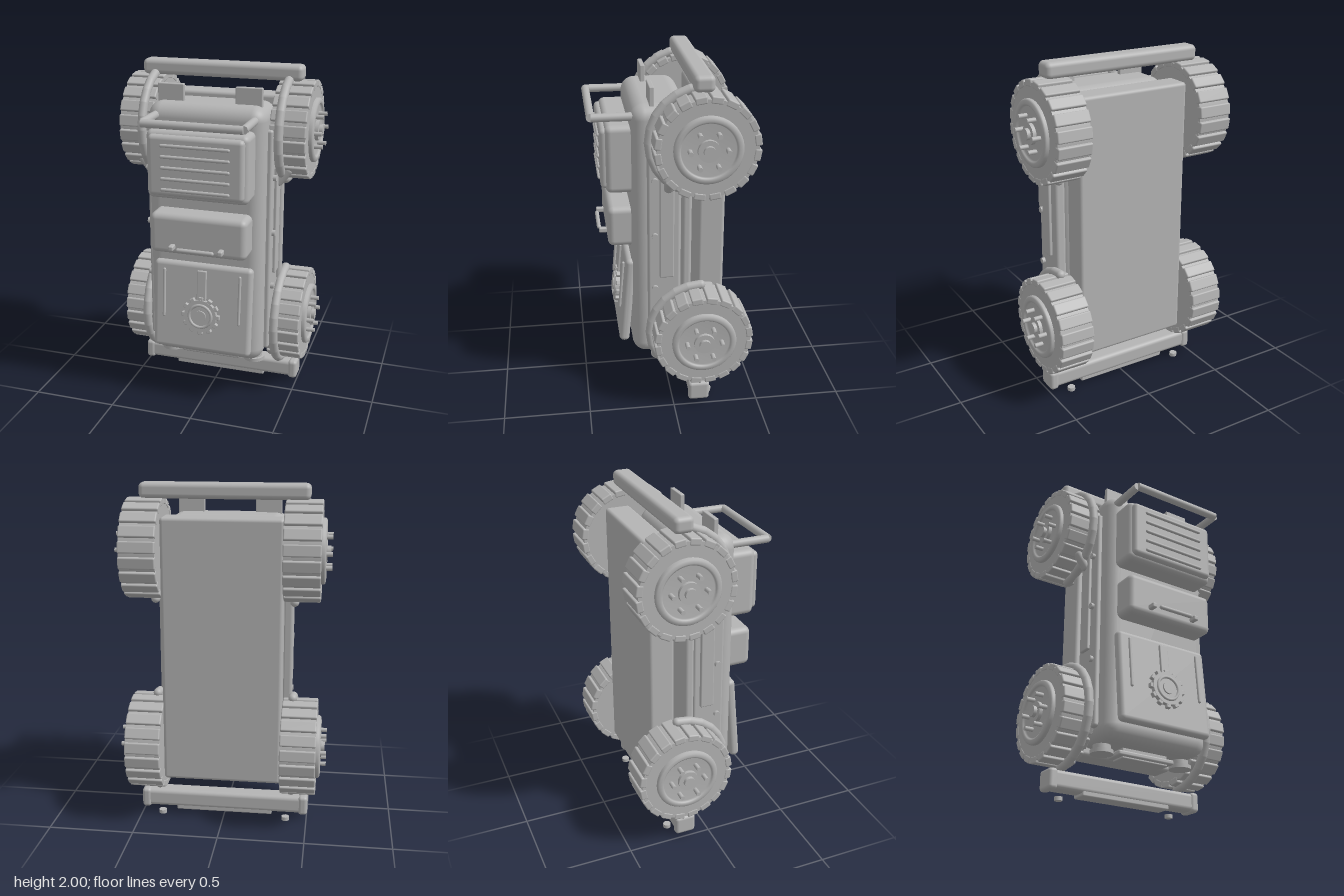
import * as THREE from 'three';
import { RoundedBoxGeometry } from 'three/addons/geometries/RoundedBoxGeometry.js';

const grey = new THREE.MeshStandardMaterial({ color: 0xb4b4b4 });
grey.name = 'matte grey';

function add(parent, name, geometry, x = 0, y = 0, z = 0) {
  const mesh = new THREE.Mesh(geometry, grey);
  mesh.name = name;
  mesh.position.set(x, y, z);
  parent.add(mesh);
  return mesh;
}

// Rounded box given by its limits on each axis
function block(parent, name, [x0, x1], [y0, y1], [z0, z1], r = 0.01) {
  const geo = new RoundedBoxGeometry(x1 - x0, y1 - y0, z1 - z0, 4, r);
  return add(parent, name, geo, (x0 + x1) / 2, (y0 + y1) / 2, (z0 + z1) / 2);
}

// Rod between two points, with round ends
function rod(parent, name, a, b, r) {
  const from = new THREE.Vector3(...a), to = new THREE.Vector3(...b);
  const dir = to.clone().sub(from);
  const mesh = add(parent, name, new THREE.CapsuleGeometry(r, dir.length(), 5, 14));
  mesh.position.copy(from).add(to).multiplyScalar(0.5);
  mesh.quaternion.setFromUnitVectors(new THREE.Vector3(0, 1, 0), dir.normalize());
  return mesh;
}

// Cylinder whose axis lies along x, y or z
function disc(parent, name, axis, r, depth, x, y, z, sides = 32) {
  const geo = new THREE.CylinderGeometry(r, r, depth, sides);
  if (axis === 'x') geo.rotateZ(-Math.PI / 2);
  if (axis === 'z') geo.rotateX(Math.PI / 2);
  return add(parent, name, geo, x, y, z);
}

// Wheel with its axle on local x, outer face towards +x
function makeWheel() {
  const wheel = new THREE.Group();
  wheel.name = 'wheel';
  disc(wheel, 'tyre', 'x', 0.27, 0.2, 0, 0, 0, 60);
  const lugs = 20;
  for (let i = 0; i < lugs; i++) {
    const a = (i + 0.5) / lugs * Math.PI * 2;
    const lug = add(wheel, 'treadLug', new RoundedBoxGeometry(0.206, 0.04, 0.066, 2, 0.008),
      0, Math.cos(a) * 0.265, Math.sin(a) * 0.265);
    lug.rotation.x = a;
  }
  // Dished rim
  const profile = [[0, 0.11], [0.145, 0.11], [0.15, 0.122], [0.16, 0.127], [0.178, 0.124], [0.185, 0.115], [0.185, 0.09]]
    .map(([r, h]) => new THREE.Vector2(r, h)).reverse();
  const rim = new THREE.LatheGeometry(profile, 48);
  rim.rotateZ(-Math.PI / 2);
  add(wheel, 'rim', rim);
  disc(wheel, 'hub', 'x', 0.06, 0.03, 0.115, 0, 0);
  disc(wheel, 'hubCap', 'x', 0.032, 0.05, 0.125, 0, 0);
  for (let i = 0; i < 6; i++) {
    const a = i / 6 * Math.PI * 2;
    disc(wheel, 'wheelBolt', 'x', 0.013, 0.06, 0.13, Math.sin(a) * 0.1, Math.cos(a) * 0.1, 12);
  }
  return wheel;
}

// Half ring of short rounded links in front of each wheel
function makeArch() {
  const arch = new THREE.Group();
  arch.name = 'wheelArch';
  const count = 12, R = 0.295;
  for (let i = 0; i < count; i++) {
    const p = [i, i + 1].map(k => {
      const a = Math.PI / 2 - k / count * Math.PI;
      return [0, Math.sin(a) * R, Math.cos(a) * R];
    });
    rod(arch, 'archLink', p[0], p[1], 0.026);
  }
  return arch;
}

function makeHood() {
  const hood = new THREE.Group();
  hood.name = 'hood';
  block(hood, 'hoodPanel', [-0.3, 0.3], [-0.272, 0.272], [-0.06, 0], 0.027);
  block(hood, 'centreRib', [-0.028, 0.028], [0.04, 0.235], [-0.01, 0.014], 0.005);
  for (const s of [-1, 1]) rod(hood, 'sideRib', [s * 0.23, -0.065, 0.008], [s * 0.23, 0.22, 0.008], 0.009);
  // Toothed round ornament
  const y = -0.04;
  disc(hood, 'gearBody', 'z', 0.098, 0.03, 0, y, 0.01, 40);
  for (let i = 0; i < 12; i++) {
    const a = i / 12 * Math.PI * 2;
    const tooth = add(hood, 'gearTooth', new RoundedBoxGeometry(0.028, 0.03, 0.026, 2, 0.004),
      Math.sin(a) * 0.101, y + Math.cos(a) * 0.101, 0.01);
    tooth.rotation.z = -a;
  }
  add(hood, 'gearRing', new THREE.TorusGeometry(0.068, 0.009, 8, 40), 0, y, 0.025);
  disc(hood, 'gearHub', 'z', 0.036, 0.04, 0, y, 0.014);
  hood.position.set(0, 0.617, 0.277);
  hood.rotation.x = -0.09;
  return hood;
}

export function createModel() {
  const model = new THREE.Group();
  model.name = 'toyTruck';

  // Body shell and separate chassis plate
  block(model, 'bodyShell', [-0.345, 0.345], [0.27, 1.81], [-0.11, 0.22], 0.08);
  block(model, 'chassis', [-0.345, 0.345], [0.27, 1.82], [-0.305, -0.155], 0.02);

  for (const s of [-1, 1]) {
    const span = (a, b) => s > 0 ? [a, b] : [-b, -a];
    // Side skirts, rails and rivets
    block(model, 'sideSkirt', span(0.32, 0.372), [0.34, 1.68], [-0.05, 0.135], 0.015);
    block(model, 'sidePanel', span(0.36, 0.39), [0.81, 1.45], [-0.012, 0.07], 0.008);
    block(model, 'rockerRail', span(0.33, 0.395), [0.5, 1.6], [-0.11, -0.055], 0.02);
    for (const y of [0.74, 1.07, 1.4]) disc(model, 'rivet', 'x', 0.018, 0.03, s * 0.376, y, 0.095, 16);
    rod(model, 'sidePeg', [s * 0.385, 1.36, 0.02], [s * 0.44, 1.43, 0.02], 0.028);

    // Wheels and arches
    for (const y of [0.465, 1.63]) {
      const wheel = makeWheel();
      wheel.position.set(s * 0.447, y, -0.165);
      if (s < 0) wheel.rotation.y = Math.PI;
      model.add(wheel);
      const arch = makeArch();
      arch.position.set(s * 0.402, y, -0.165);
      model.add(arch);
    }

    // Upright flaps, rack arms, lamps and bumper ends
    block(model, 'flap', span(0.15, 0.305), [1.7, 1.905], [0.087, 0.115], 0.006);
    disc(model, 'rackArm', 'z', 0.023, 0.27, s * 0.285, 1.742, 0.29, 20);
    disc(model, 'lamp', 'y', 0.065, 0.022, s * 0.265, 0.23, 0.045);
    disc(model, 'lampBase', 'y', 0.05, 0.05, s * 0.265, 0.245, 0.045);
    block(model, 'bumperEnd', span(0.45, 0.505), [0.03, 0.148], [-0.212, -0.088], 0.02);
    disc(model, 'bumperStud', 'y', 0.023, 0.022, s * 0.375, 0.015, -0.22, 16);
    block(model, 'handlePost', span(0.13, 0.16), [1.005, 1.035], [0.33, 0.395], 0.008);
  }
  const bar = disc(model, 'rackBar', 'x', 0.023, 0.57, 0, 1.742, 0.425, 20);
  bar.position.z = 0.427;

  // Ribbed upper box
  block(model, 'upperBox', [-0.295, 0.295], [1.3, 1.69], [0.17, 0.355], 0.035);
  block(model, 'upperBoxFace', [-0.275, 0.275], [1.325, 1.67], [0.3, 0.382], 0.025);
  for (let i = 0; i < 5; i++) {
    const y = 1.365 + i * 0.0625;
    rod(model, 'ventRib', [-0.19, y, 0.385], [0.19, y, 0.385], 0.01);
  }

  // Middle box with handle
  block(model, 'middleBox', [-0.285, 0.285], [0.97, 1.21], [0.17, 0.35], 0.035);
  rod(model, 'handle', [-0.1, 1.018, 0.392], [0.1, 1.018, 0.392], 0.012);

  model.add(makeHood());

  // Nose grille and bumpers
  block(model, 'grille', [-0.185, 0.185], [0.222, 0.25], [-0.03, 0.1], 0.01);
  block(model, 'grilleStrip', [-0.15, 0.15], [0.212, 0.29], [-0.02, 0.08], 0.005);
  block(model, 'lowerBumper', [-0.48, 0.48], [0.037, 0.143], [-0.205, -0.095], 0.025);
  block(model, 'bumperStrip', [-0.29, 0.29], [0.02, 0.06], [-0.2, -0.1], 0.008);
  block(model, 'upperBumper', [-0.48, 0.48], [1.91, 2.0], [-0.21, -0.098], 0.028);

  return model;
}
